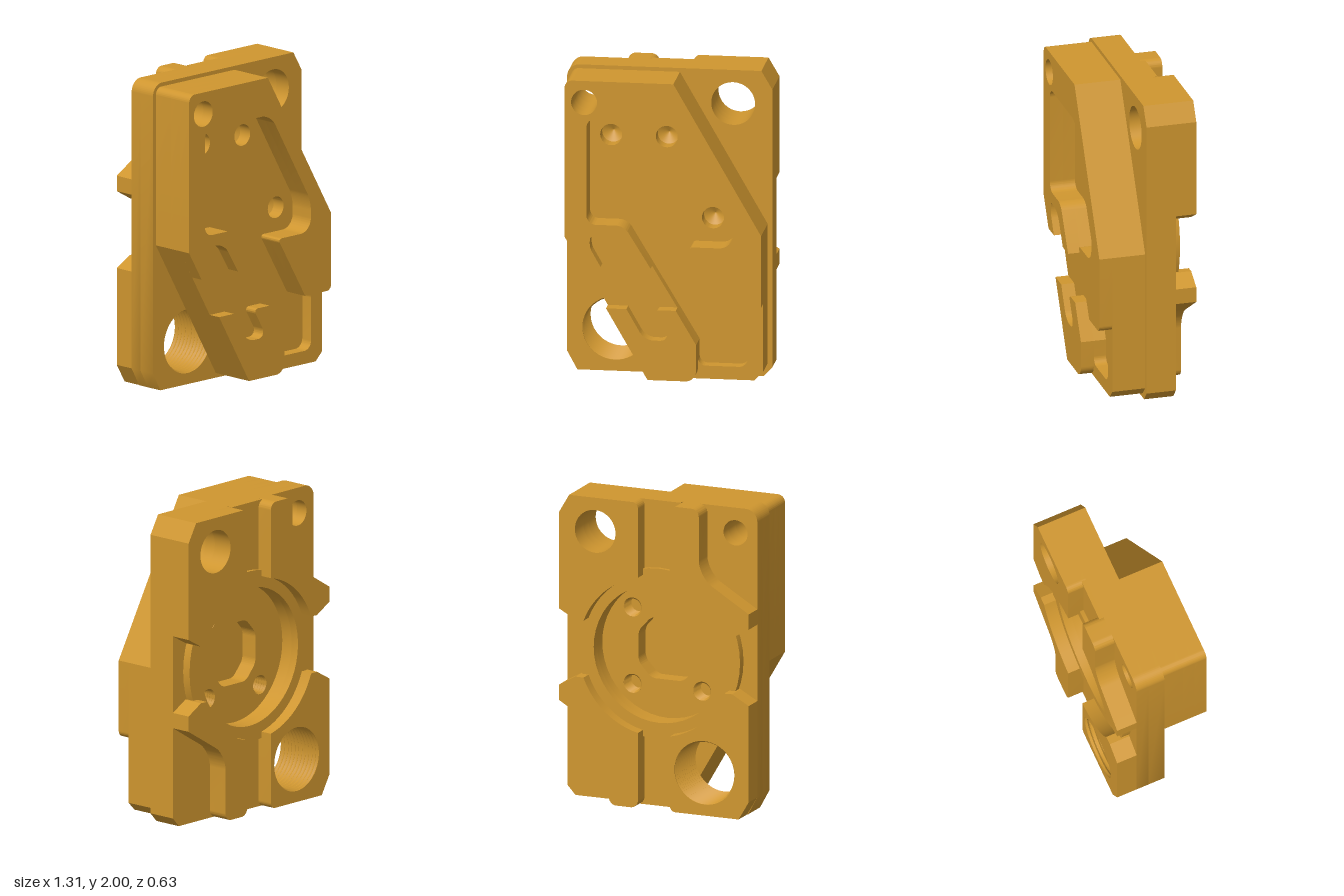
import * as THREE from 'three';
import { toCreasedNormals } from 'three/addons/utils/BufferGeometryUtils.js';

const bronze = new THREE.MeshStandardMaterial({ color: 0xcf962f, side: THREE.DoubleSide });
bronze.name = 'bronze';

// Closed outline from [x, y, cornerRadius] points; corners with a radius are rounded
function trace(points, path = new THREE.Shape()) {
  const n = points.length;
  points.forEach(([x, y, r = 0], i) => {
    const toward = ([px, py]) => {
      const d = Math.hypot(px - x, py - y);
      return [x + ((px - x) * r) / d, y + ((py - y) * r) / d];
    };
    const a = toward(points[(i + n - 1) % n]);
    const b = toward(points[(i + 1) % n]);
    if (i === 0) path.moveTo(...a);
    else path.lineTo(...a);
    if (r) path.bezierCurveTo(a[0] + (x - a[0]) * 0.55, a[1] + (y - a[1]) * 0.55,
      b[0] + (x - b[0]) * 0.55, b[1] + (y - b[1]) * 0.55, ...b);
  });
  path.closePath();
  return path;
}

const circle = (x, y, r) => new THREE.Path().absarc(x, y, r, 0, Math.PI * 2, true);

// Slab of a given outline between two z planes
function slab(name, shape, z0, z1, holes = []) {
  shape.holes.push(...holes);
  const geo = new THREE.ExtrudeGeometry(shape, { depth: z1 - z0, bevelEnabled: false, curveSegments: 24 });
  geo.translate(0, 0, z0);
  const mesh = new THREE.Mesh(toCreasedNormals(geo, 0.5), bronze);
  mesh.name = name;
  return mesh;
}

// Turned surface about the z axis at (x, y); profile is [radius, z]
function turned(name, x, y, profile) {
  const geo = new THREE.LatheGeometry(profile.map(([r, z]) => new THREE.Vector2(r, z)), 40);
  geo.rotateX(Math.PI / 2);
  const mesh = new THREE.Mesh(toCreasedNormals(geo, 0.5), bronze);
  mesh.position.set(x, y, 0);
  mesh.name = name;
  return mesh;
}

// Zigzag screw thread lining a hole
function thread(name, x, y, r, depth, z0, z1, turns) {
  const profile = [];
  for (let i = 0; i <= turns * 2; i++) {
    profile.push([i % 2 ? r - depth : r, z0 + ((z1 - z0) * i) / (turns * 2)]);
  }
  return turned(name, x, y, profile);
}

export function createModel() {
  const group = new THREE.Group();
  const add = (...parts) => group.add(...parts);

  const baseOutline = () => trace([
    [-0.655, 0.12], [-0.59, 0], [0.6, 0], [0.655, 0.06],
    [0.655, 1.88], [0.585, 2], [-0.655, 2, 0.08],
  ]);
  const throughHoles = () => [circle(0.405, 1.78, 0.14), circle(-0.505, 1.835, 0.083), circle(-0.35, 0.28, 0.208)];
  const screws = [[0.24, 1.25], [0.24, 0.75], [-0.24, 0.75]];

  // Base plate: rear half carries the round recess, front half the socket and screw holes
  add(slab('baseRear', baseOutline(), -0.18, -0.1, [...throughHoles(), circle(0, 1, 0.45)]));
  const socket = trace([
    [-0.2, 0.9, 0.03], [-0.2, 1.1, 0.03], [-0.11, 1.2, 0.03], [0.11, 1.2, 0.03],
    [0.2, 1.1, 0.03], [0.2, 0.9, 0.03], [0.11, 0.8, 0.03], [-0.11, 0.8, 0.03],
  ], new THREE.Path());
  add(slab('baseFront', baseOutline(), -0.1, 0.013,
    [...throughHoles(), socket, ...screws.map(([x, y]) => circle(x, y, 0.062))]));
  for (const [x, y] of screws) add(thread('screwThread', x, y, 0.062, 0.01, -0.1, 0.01, 5));
  add(thread('portThread', -0.35, 0.28, 0.212, 0.013, -0.314, 0.012, 11));

  // Raised rim around the round recess
  add(slab('recessRim', new THREE.Shape().absarc(0, 1, 0.56, 0, Math.PI * 2), -0.235, -0.18, [circle(0, 1, 0.45)]));

  // Back pads come in pairs, turned half a revolution about the recess centre
  const arc = (from, to) => Array.from({ length: 13 }, (_, i) => {
    const a = THREE.MathUtils.degToRad(from + ((to - from) * i) / 12);
    return [0.52 * Math.cos(a), 1 + 0.52 * Math.sin(a)];
  });
  const cornerPad = [
    [0.655, 1.25], [0.655, 1.88], [0.585, 2], [0.11, 2, 0.04], ...arc(77.8, 21), [0.54, 1.185],
  ];
  const steppedPad = [
    [0.655, 0.75], [0.54, 0.815], ...arc(-21, -77.8), [0.11, 0, 0.05],
    [0.31, 0, 0.05], [0.31, 0.44, 0.11], [0.655, 0.65],
  ];
  const turn = (points) => points.map(([x, y, r]) => [-x, 2 - y, r]);
  add(slab('upperCornerPad', trace(cornerPad), -0.315, -0.18, [circle(0.405, 1.78, 0.14)]));
  add(slab('lowerCornerPad', trace(turn(cornerPad)), -0.315, -0.18, [circle(-0.35, 0.28, 0.208)]));
  add(slab('lowerSteppedPad', trace(steppedPad), -0.315, -0.18));
  add(slab('upperSteppedPad', trace(turn(steppedPad)), -0.315, -0.18));

  // Floors of the vertical channel between the pads
  for (const y of [0, 1.47]) {
    add(slab('channelFloor', trace([[-0.14, y], [0.14, y], [0.14, y + 0.53], [-0.14, y + 0.53]]), -0.21, -0.18));
  }

  // Front block, solid layer with three drilled holes
  const frontOutline = () => trace([
    [-0.63, 0.95], [-0.1, 0.03], [0.57, 0.03], [0.625, 0.085], [0.625, 1], [0.065, 1.975], [-0.63, 1.975, 0.05],
  ]);
  const smallHole = () => circle(-0.505, 1.835, 0.083);
  const drills = [[-0.355, 1.585], [0, 1.585], [0.295, 1.065]];
  add(slab('frontFloor', frontOutline(), 0.013, 0.15,
    [smallHole(), ...drills.map(([x, y]) => circle(x, y, 0.07))]));
  for (const [x, y] of drills) add(turned('drillTip', x, y, [[0, 0.02], [0.07, 0.06]]));

  // Middle layer with the pocket and the diagonal channel
  const pocketTop = [
    [-0.25, 1.035, 0.05], [-0.49, 1.035, 0.06], [-0.49, 1.73, 0.06], [0.09, 1.73, 0.08],
    [0.445, 1.11, 0.06], [0.445, 0.91, 0.09], [0.155, 0.91, 0.035],
  ];
  const pocket = trace([
    ...pocketTop, [0.395, 0.5], [0.53, 0.5, 0.05], [0.53, 0.115, 0.06], [0.21, 0.115, 0.05], [0.21, 0.27],
  ], new THREE.Path());
  add(slab('frontMiddle', frontOutline(), 0.15, 0.23, [smallHole(), pocket]));

  // Top layer: open frame around the pocket, and the separate lower block
  add(slab('frontFrame', trace([
    [-0.52, 0.76], [-0.4, 0.76], [-0.49, 0.92, 0.07], [-0.465, 0.96, 0.03], [-0.32, 0.96, 0.07],
    [-0.2, 0.76], [-0.08, 0.76], ...pocketTop, [0.395, 0.5], [0.625, 0.5, 0.04],
    [0.625, 1], [0.065, 1.975], [-0.63, 1.975, 0.05], [-0.63, 0.95],
  ]), 0.23, 0.315, [smallHole()]));
  add(slab('lowerBlock', trace([
    [-0.365, 0.49], [-0.1, 0.03], [0.21, 0.03, 0.07], [0.21, 0.27], [0.08, 0.49],
    [-0.06, 0.49, 0.04], [0.055, 0.29, 0.08], [-0.12, 0.29, 0.06], [-0.235, 0.49],
  ]), 0.23, 0.315));

  return group;
}
